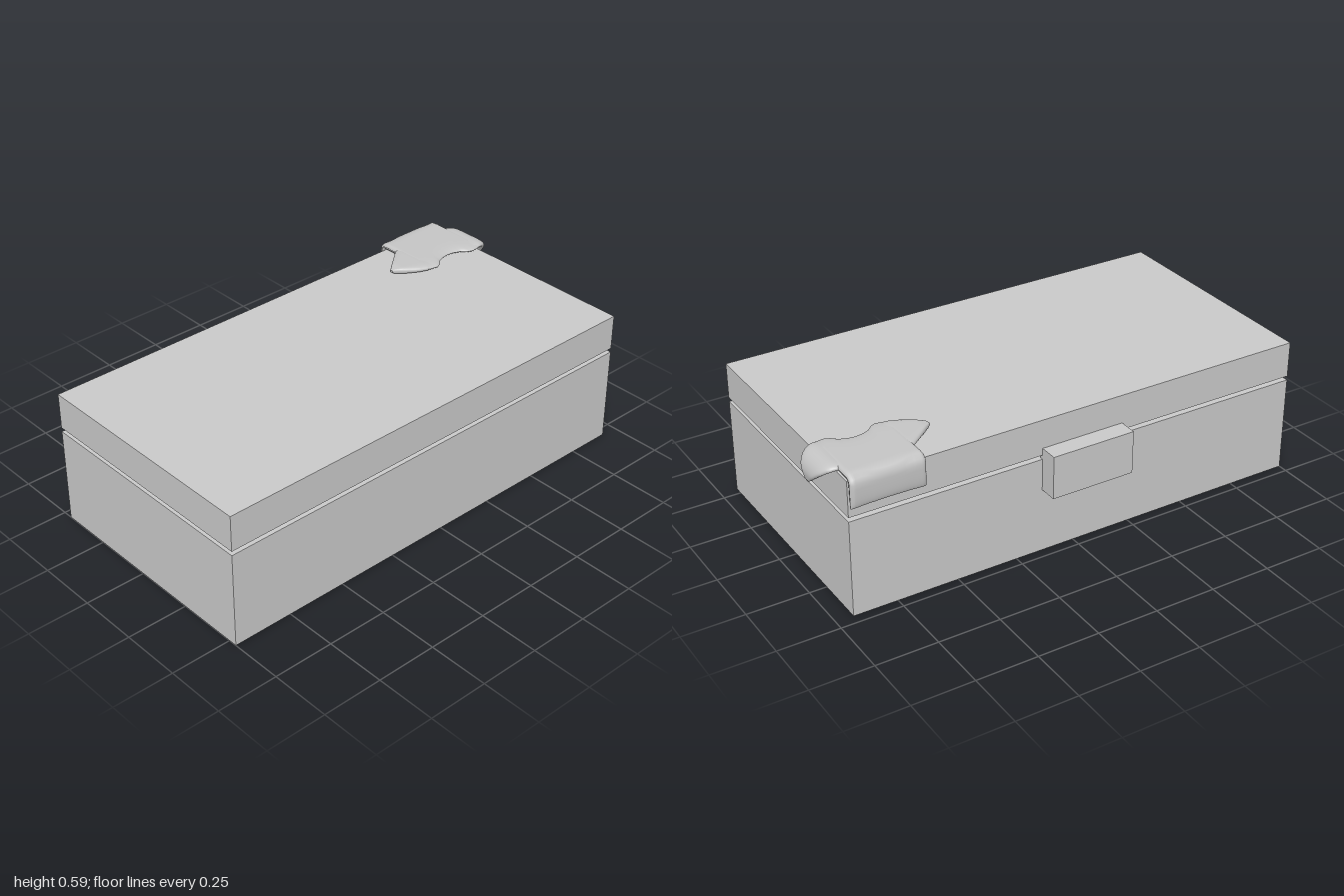
import * as THREE from 'three';

const grey = new THREE.MeshStandardMaterial({ color: 0xc8c8c8 });
grey.name = 'light grey';
const clothGrey = grey.clone();
clothGrey.name = 'cloth grey';
clothGrey.color.set(0xc4c4c4);
clothGrey.side = THREE.DoubleSide;

// Box given by its minimum and maximum corners
function block(name, [x0, y0, z0], [x1, y1, z1]) {
  const mesh = new THREE.Mesh(new THREE.BoxGeometry(x1 - x0, y1 - y0, z1 - z0), grey);
  mesh.position.set((x0 + x1) / 2, (y0 + y1) / 2, (z0 + z1) / 2);
  mesh.name = name;
  return mesh;
}

// Drapes a flat cloth point over the lid: x across, s towards the back, h above the lid
function drape(x, s, h) {
  let y = 0.56 + h, z = -s, px = x;
  if (s > 0.455) { // hangs over the back edge
    const d = s - 0.455, a = Math.min(d / 0.03, Math.PI / 2), rest = Math.max(0, d - 0.047);
    y = 0.555 + (0.005 + h) * Math.cos(a) - rest;
    z = -(0.455 + (0.005 + h) * Math.sin(a) + rest * 0.03);
  } else if (x > 0.93) { // hangs over the right edge
    const d = x - 0.93, a = Math.min(d / 0.06, Math.PI / 2), rest = Math.max(0, d - 0.094);
    px = 0.93 + (0.04 + h) * Math.sin(a);
    y = 0.52 + (0.04 + h) * Math.cos(a) - rest;
  }
  return [px, y, z];
}

// Cloth panel lofted through columns of [x, front s, back s, thickness factor]
function clothPanel(name, columns) {
  const cols = [];
  const SUB = 4, N = 28, RING = 2 * N;
  columns.forEach((c, i) => {
    if (i === columns.length - 1) return cols.push(c);
    for (let k = 0; k < SUB; k++) cols.push(c.map((v, n) => v + (columns[i + 1][n] - v) * k / SUB));
  });
  const pos = [], idx = [];
  cols.forEach(([x, front, back, thick], i) => {
    for (let j = 0; j < RING; j++) {
      const top = j <= N;
      const t = top ? j / N : 2 - j / N;
      const v = (1 - Math.cos(Math.PI * t)) / 2;
      const round = Math.sqrt(1 - Math.pow(Math.abs(2 * v - 1), 6));
      const h = 0.016 + (top ? 1 : -1) * 0.014 * round * thick;
      pos.push(...drape(x, front + (back - front) * v, h));
      if (i === cols.length - 1) continue;
      const a = i * RING + j, d = i * RING + (j + 1) % RING;
      idx.push(a, a + RING, d + RING, a, d + RING, d);
    }
  });
  const geo = new THREE.BufferGeometry();
  geo.setAttribute('position', new THREE.Float32BufferAttribute(pos, 3));
  geo.setIndex(idx);
  geo.computeVertexNormals();
  const mesh = new THREE.Mesh(geo, clothGrey);
  mesh.name = name;
  return mesh;
}

export function createModel() {
  const model = new THREE.Group();
  model.name = 'boxWithShirt';

  // Box body, lid and the catch on the back
  model.add(
    block('boxBase', [-1, 0, -0.46], [0.93, 0.396, 0.535]),
    block('lid', [-1, 0.413, -0.46], [0.93, 0.56, 0.535]),
    block('latch', [-0.21, 0.265, -0.535], [0.14, 0.442, -0.445])
  );

  // Small shirt lying over the back right corner
  const shirt = new THREE.Group();
  shirt.name = 'shirt';
  shirt.add(
    clothPanel('shirtBody', [
      [0.632, 0.202, 0.598, 0.1], [0.636, 0.2, 0.6, 0.6], [0.645, 0.197, 0.6, 1],
      [0.68, 0.19, 0.598, 1], [0.70, 0.2, 0.597, 1], [0.72, 0.22, 0.597, 1],
      [0.75, 0.232, 0.596, 1], [0.78, 0.236, 0.596, 1], [0.81, 0.232, 0.596, 1],
      [0.84, 0.22, 0.597, 1], [0.86, 0.2, 0.597, 1], [0.885, 0.19, 0.598, 1],
      [0.915, 0.194, 0.6, 1], [0.926, 0.196, 0.6, 0.6], [0.93, 0.197, 0.598, 0.1]
    ]),
    clothPanel('leftSideSleeve', [
      [0.512, 0.284, 0.296, 0.3], [0.52, 0.275, 0.303, 0.7], [0.55, 0.25, 0.328, 1],
      [0.6, 0.216, 0.368, 1], [0.635, 0.201, 0.396, 1], [0.66, 0.2, 0.4, 0.9]
    ]),
    clothPanel('rightSideSleeve', [
      [0.905, 0.2, 0.4, 0.9], [0.93, 0.197, 0.4, 1], [0.96, 0.205, 0.39, 1],
      [0.99, 0.218, 0.367, 1], [1.02, 0.238, 0.335, 1], [1.05, 0.262, 0.296, 0.7],
      [1.06, 0.272, 0.28, 0.3]
    ])
  );
  model.add(shirt);
  return model;
}
